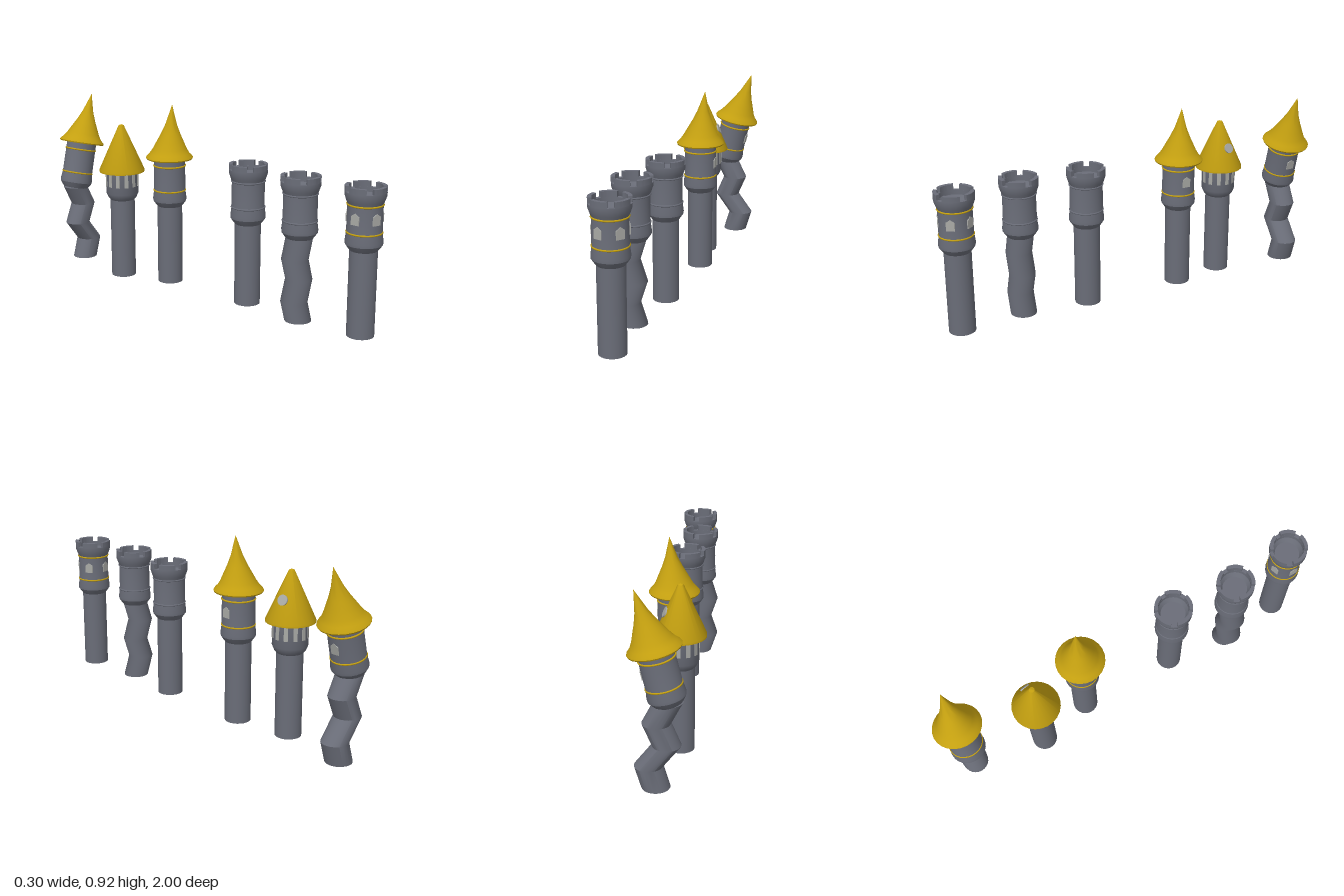
import * as THREE from 'three';
import { toCreasedNormals } from 'three/addons/utils/BufferGeometryUtils.js';

const SIDES = 24;
const DEG = Math.PI / 180;

function material(name, color) {
  const m = new THREE.MeshStandardMaterial({ color });
  m.name = name;
  return m;
}

export function createModel() {
  const stone = material('stone', 0x6a6d78);
  const gold = material('gold', 0xc4a010);
  const pane = material('pane', 0xa9aaa6);

  const add = (parent, name, geo, mat) => {
    const mesh = new THREE.Mesh(geo, mat);
    mesh.name = name;
    parent.add(mesh);
    return mesh;
  };

  // Turned part with crisp edges
  const lathe = (pts, crease = 0.5) => toCreasedNormals(
    new THREE.LatheGeometry(pts.map(([r, y]) => new THREE.Vector2(r, y)), SIDES), crease);

  // Places a thin plate on a round wall; angle runs from +z towards +x
  const onWall = (mesh, angle, r, y, tilt = 0) => {
    mesh.rotation.order = 'YXZ';
    mesh.rotation.set(-tilt, angle * DEG, 0);
    mesh.position.set(r * Math.sin(angle * DEG), y, r * Math.cos(angle * DEG));
  };

  // Shaft whose centre line swings sideways at equal heights
  const shaft = (parent, offsets, sharp, bottom = 0.01) => {
    const top = 0.415, h = top - bottom, n = offsets.length - 1;
    let geo = new THREE.CylinderGeometry(0.0625, 0.0625, h, SIDES, n);
    const p = geo.attributes.position;
    for (let i = 0; i < p.count; i++) {
      const level = Math.round((p.getY(i) / h + 0.5) * n);
      p.setX(i, p.getX(i) + offsets[level]);
    }
    geo.translate(0, bottom + h / 2, 0);
    if (sharp) geo = toCreasedNormals(geo, 0.5);
    add(parent, 'shaft', geo, stone);
  };

  // Upper room with two bands
  const room = (parent, bandMat, topY) => {
    add(parent, 'upperRoom', lathe([[0, 0.408], [0.0625, 0.408], [0.072, 0.42], [0.083, 0.436],
      [0.084, 0.45], [0.079, 0.487], [0.078, topY]]), stone);
    for (const y of [0.49, 0.615]) {
      const band = add(parent, 'band', new THREE.TorusGeometry(0.078, 0.0045, 8, SIDES), bandMat);
      band.rotation.x = Math.PI / 2;
      band.position.y = y;
    }
  };

  // Open crown with five merlons
  const crown = (parent) => {
    add(parent, 'crown', lathe([[0.078, 0.617], [0.084, 0.632], [0.092, 0.655], [0.092, 0.672],
      [0.074, 0.672], [0.074, 0.65], [0.06, 0.625], [0, 0.625]]), stone);
    for (let k = 0; k < 5; k++) {
      const a0 = (26 + 72 * k + 10 - 90) * DEG, a1 = a0 + 52 * DEG;
      const s = new THREE.Shape();
      s.absarc(0, 0, 0.092, a0, a1, false);
      s.absarc(0, 0, 0.074, a1, a0, true);
      const geo = new THREE.ExtrudeGeometry(s, { depth: 0.026, bevelEnabled: false, curveSegments: 5 });
      geo.rotateX(-Math.PI / 2).translate(0, 0.671, 0);
      add(parent, 'merlon', toCreasedNormals(geo, 0.5), stone);
    }
  };

  // Flared roof with a tip leaning towards +x
  const bentRoof = (parent) => {
    const geo = lathe([[0, 0.652], [0.115, 0.65], [0.118, 0.656], [0.115, 0.662], [0.1, 0.677],
      [0.085, 0.7], [0.068, 0.735], [0.048, 0.775], [0.029, 0.82], [0.014, 0.87], [0, 0.918]], 0.6);
    const p = geo.attributes.position;
    for (let i = 0; i < p.count; i++) {
      p.setX(i, p.getX(i) + Math.max(0, p.getY(i) - 0.68) * 0.095);
    }
    add(parent, 'roof', geo, gold);
  };

  // Pointed window
  const archWindow = (parent, angle) => {
    const s = new THREE.Shape();
    s.moveTo(-0.02, -0.026);
    s.lineTo(0.02, -0.026);
    s.lineTo(0.02, 0.013);
    s.lineTo(0, 0.027);
    s.lineTo(-0.02, 0.013);
    const geo = new THREE.ExtrudeGeometry(s, { depth: 0.006, bevelEnabled: false });
    onWall(add(parent, 'window', geo, pane), angle, 0.0742, 0.56);
  };

  const model = new THREE.Group();
  model.name = 'towers';
  const tower = (name, x, z) => {
    const g = new THREE.Group();
    g.name = name;
    g.position.set(x, 0, z);
    model.add(g);
    return g;
  };

  // Crowned tower with windows
  const t1 = tower('windowedTower', 0.031, 0.907);
  shaft(t1, [0, 0], false);
  room(t1, gold, 0.62);
  crown(t1);
  for (let k = 0; k < 5; k++) archWindow(t1, -18 + 72 * k);

  // Crowned tower with a wavy shaft
  const t2 = tower('wavyTower', -0.002, 0.588);
  shaft(t2, [0.002, -0.032, 0.002, -0.032, 0], false);
  room(t2, stone, 0.62);
  crown(t2);

  // Plain crowned tower
  const t3 = tower('plainTower', 0.031, 0.263);
  shaft(t3, [0, 0], false);
  room(t3, stone, 0.62);
  crown(t3);

  // Roofed tower with one window
  const t4 = tower('roofedTower', 0.031, -0.241);
  shaft(t4, [0, 0], false);
  room(t4, gold, 0.66);
  bentRoof(t4);
  archWindow(t4, 90);

  // Tower with a straight cone roof and slit windows
  const t5 = tower('coneTower', -0.032, -0.516);
  shaft(t5, [0, 0], false, 0);
  add(t5, 'upperRoom', lathe([[0, 0.408], [0.0625, 0.408], [0.073, 0.42], [0.083, 0.443],
    [0.083, 0.562]]), stone);
  for (let k = 0; k < 12; k++) {
    const slit = add(t5, 'slit', new THREE.BoxGeometry(0.019, 0.066, 0.006), pane);
    onWall(slit, 30 * k, 0.0815, 0.514);
  }
  add(t5, 'roof', lathe([[0, 0.556], [0.116, 0.555], [0.116, 0.564], [0.013, 0.793], [0, 0.798]]), gold);
  const disc = new THREE.CylinderGeometry(0.025, 0.025, 0.009, 20).rotateX(Math.PI / 2);
  onWall(add(t5, 'roundWindow', disc, pane), 101, 0.0685, 0.667, 0.42);

  // Crooked tower: zigzag shaft and tilted top
  const t6 = tower('crookedTower', 0, -0.883);
  shaft(t6, [0.031, 0.061, -0.017, 0.026, -0.026], true);
  const tilted = new THREE.Group();
  tilted.name = 'tiltedTop';
  tilted.position.set(-0.024, 0.42, 0);
  tilted.rotation.z = -0.23;
  t6.add(tilted);
  const top = new THREE.Group();
  top.name = 'topParts';
  top.position.y = -0.42;
  tilted.add(top);
  room(top, gold, 0.66);
  bentRoof(top);
  archWindow(top, 90);

  return model;
}
